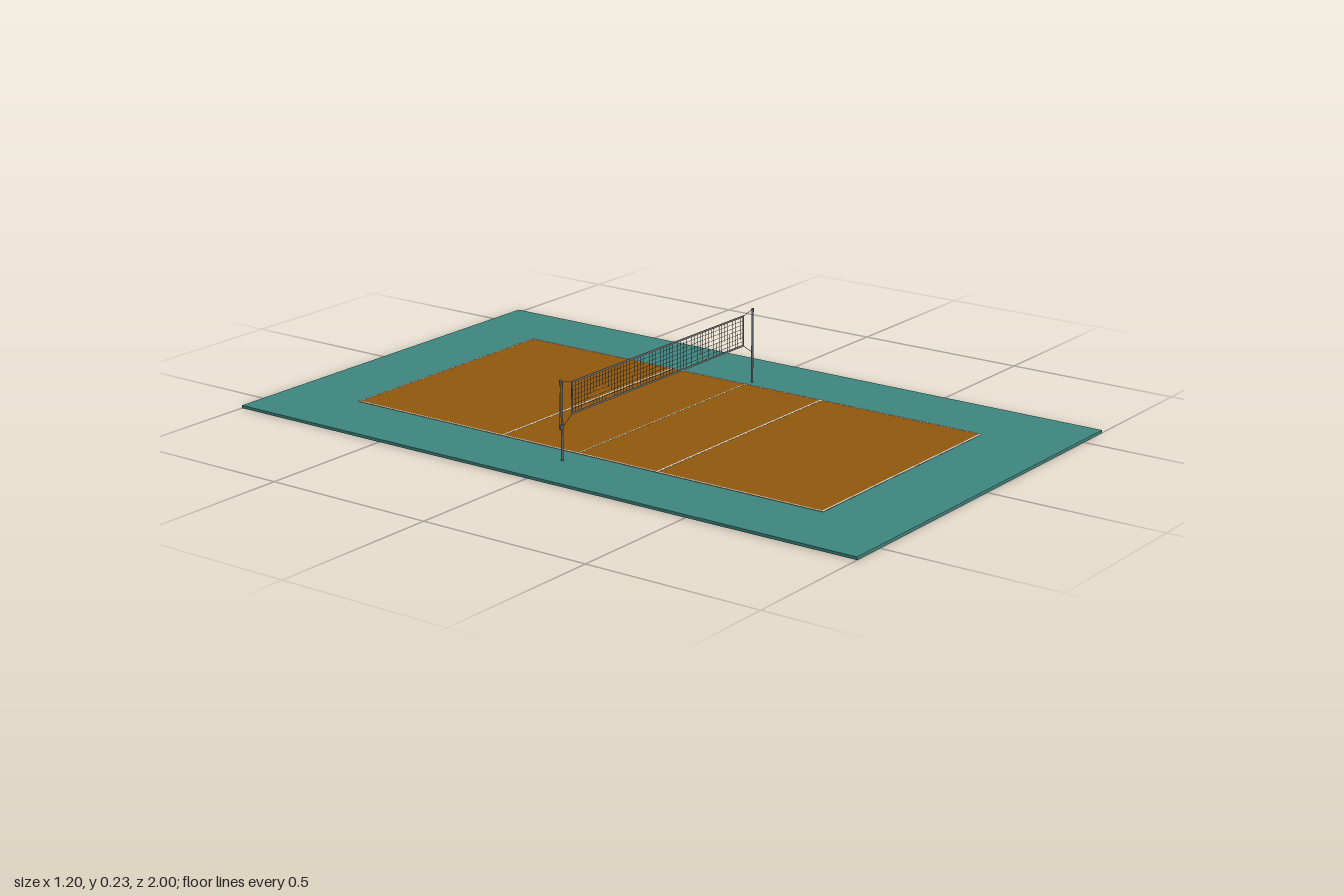
import * as THREE from 'three';

const mat = (name, color) => {
  const m = new THREE.MeshStandardMaterial({ color });
  m.name = name;
  return m;
};

export function createModel() {
  const root = new THREE.Group();
  root.name = 'volleyballCourt';
  const teal = mat('tealFloor', 0x3d857f);
  const orange = mat('orangeCourt', 0x8f570c);
  const white = mat('whiteLine', 0xf0f0f0);
  const steel = mat('greySteel', 0x6b6e72);
  const tape = mat('greyTape', 0x77777a);
  const cord = mat('netCord', 0x66686c);

  const add = (name, geo, m, parent = root) => {
    const mesh = new THREE.Mesh(geo, m);
    mesh.name = name;
    parent.add(mesh);
    return mesh;
  };
  const box = (name, w, h, d, x, y, z, m, parent) => {
    const b = add(name, new THREE.BoxGeometry(w, h, d), m, parent);
    b.position.set(x, y, z);
    return b;
  };
  const group = (name) => {
    const g = new THREE.Group();
    g.name = name;
    root.add(g);
    return g;
  };
  // straight thin rod between two points in the net plane
  const rod = (name, x1, y1, x2, y2, r, m, parent) => {
    const a = new THREE.Vector3(x1, y1, 0), b = new THREE.Vector3(x2, y2, 0);
    const mesh = add(name, new THREE.CylinderGeometry(r, r, a.distanceTo(b), 6), m, parent);
    mesh.position.copy(a).add(b).multiplyScalar(0.5);
    mesh.quaternion.setFromUnitVectors(new THREE.Vector3(0, 1, 0), b.sub(a).normalize());
    return mesh;
  };

  // floor and playing area
  const cx = -0.003, W = 0.764, L = 1.528, floorY = 0.008;
  box('floor', 1.2, floorY, 2, 0, floorY / 2, 0, teal);
  box('playingArea', W, 0.001, L, cx, floorY + 0.0005, cx, orange);

  // boundary, attack and centre lines
  const lines = group('courtLines');
  const lw = 0.005, ly = floorY + 0.001;
  for (const s of [-1, 1]) {
    box('sideLine', lw, 0.001, L, cx + s * (W - lw) / 2, ly, cx, white, lines);
    box('endLine', W, 0.001, lw, cx, ly, cx + s * (L - lw) / 2, white, lines);
    box('attackLine', W, 0.001, lw, cx, ly, cx + s * 0.254, white, lines);
  }
  box('centreLine', W, 0.001, 0.003, cx, ly, cx, white, lines);

  // net: tape frame and cord grid
  const net = group('net');
  const x0 = -0.41, x1 = 0.36, y0 = 0.125, y1 = 0.21;
  const nx = (x0 + x1) / 2, ny = (y0 + y1) / 2, nw = x1 - x0, nh = y1 - y0;
  for (const y of [y0, y1]) box('edgeTape', nw + 0.005, 0.005, 0.002, nx, y, 0, tape, net);
  for (const x of [x0, x1]) box('sideTape', 0.005, nh, 0.002, x, ny, 0, tape, net);
  const cols = 60, rows = 7;
  for (let i = 1; i < cols; i++)
    box('verticalCord', 0.0008, nh, 0.0008, x0 + nw * i / cols, ny, 0, cord, net);
  for (let j = 1; j < rows; j++)
    box('horizontalCord', nw, 0.0008, 0.0008, nx, y0 + nh * j / rows, 0, cord, net);

  // posts with tie ropes to the net corners
  for (const [px, ex] of [[-0.453, x0], [0.405, x1]]) {
    const post = group('post');
    rod('pole', px, floorY, px, 0.223, 0.0034, steel, post);
    rod('topRope', px, 0.221, ex, y1, 0.0008, cord, post);
    rod('bottomRope', px, 0.095, ex, y0, 0.0008, cord, post);
  }

  // tensioning winch, pulley and cable on the right post
  const winch = group('winch');
  box('winchBody', 0.007, 0.012, 0.007, -0.458, 0.1, 0, steel, winch);
  const pulley = add('pulley', new THREE.CylinderGeometry(0.0045, 0.0045, 0.003, 12), steel, winch);
  pulley.rotation.x = Math.PI / 2;
  pulley.position.set(-0.458, 0.224, 0);
  rod('winchCable', -0.462, 0.1, -0.462, 0.224, 0.0006, cord, winch);
  return root;
}
